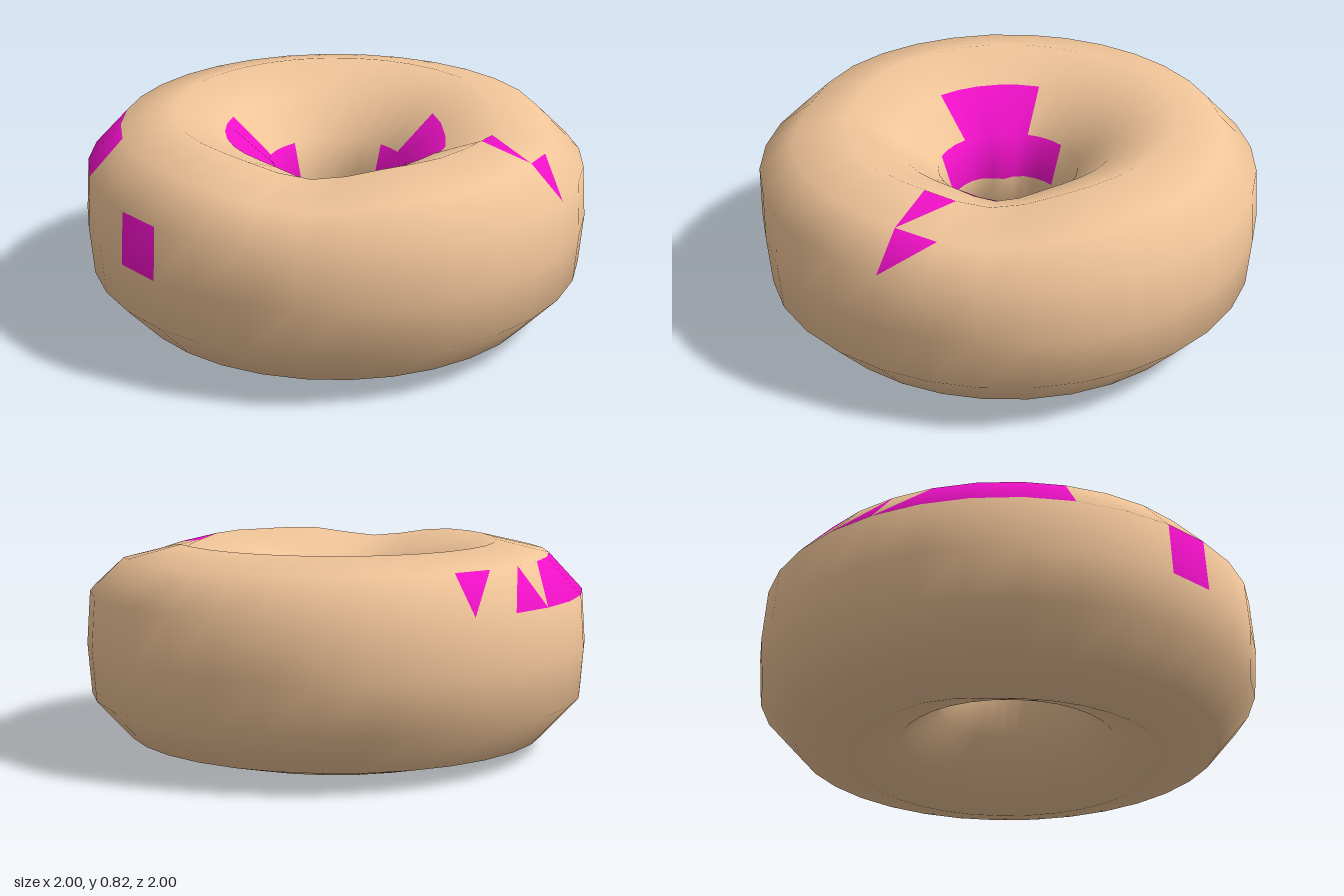
import * as THREE from 'three';

const SEGMENTS = 32;
// Ring cross-section as [radius, height]: outer wall, over the top, down the hole, underneath
const PROFILE = [
  [1.0, 0.42], [0.985, 0.63], [0.85, 0.775], [0.64, 0.825], [0.44, 0.735], [0.28, 0.59],
  [0.23, 0.42], [0.28, 0.22], [0.43, 0.08], [0.62, 0.0], [0.84, 0.06], [0.985, 0.22],
];
const ROWS = PROFILE.length;

// Smooth bump around an angle in degrees
function bump(deg, centre, width) {
  const d = ((deg - centre + 540) % 360) - 180;
  return Math.exp(-((d / width) ** 2));
}

// Ring vertex with the hand-shaped unevenness of dough
function ringPoint(i, j) {
  const deg = (i * 360) / SEGMENTS;
  const a = THREE.MathUtils.degToRad(deg);
  let [r, y] = PROFILE[j];
  const top = j >= 2 && j <= 4 ? 1 : 0;
  y -= top * 0.05 * (bump(deg, 45, 20) + bump(deg, 315, 20) + 0.3 * bump(deg, 0, 20));
  if (j === 9) y += 0.02 * (bump(deg, 22, 18) + bump(deg, 158, 18));
  if (j >= 5 && j <= 7) r -= 0.035 * bump(deg, 122, 14);
  if (j === 0 || j === 11) r -= 0.015 * bump(deg, 28, 12);
  return [r * Math.cos(a), y, r * Math.sin(a)];
}

// Painted cells: [row, first segment, last segment]
const PATCHES = [[0, 7, 7], [1, 10, 12], [4, 8, 12], [5, 5, 15], [4, 25, 29], [5, 23, 31]];
// Painted half cells: [row, segment, which triangle]
const HALVES = [[1, 13, 0], [1, 14, 0], [1, 15, 1], [1, 29, 1], [2, 29, 1]];

function isPainted(i, j, half) {
  return PATCHES.some(([row, from, to]) => row === j && i >= from && i <= to)
    || HALVES.some(([row, seg, h]) => row === j && seg === i && h === half);
}

export function createModel() {
  const positions = [];
  for (let i = 0; i < SEGMENTS; i++) {
    for (let j = 0; j < ROWS; j++) positions.push(...ringPoint(i, j));
  }

  // Sort the triangles into plain and painted surfaces
  const plain = [], painted = [];
  const id = (i, j) => (i % SEGMENTS) * ROWS + (j % ROWS);
  for (let i = 0; i < SEGMENTS; i++) {
    for (let j = 0; j < ROWS; j++) {
      const a = id(i, j), b = id(i + 1, j), c = id(i + 1, j + 1), d = id(i, j + 1);
      (isPainted(i, j, 0) ? painted : plain).push(a, d, b);
      (isPainted(i, j, 1) ? painted : plain).push(b, d, c);
    }
  }

  // Normals come from the whole ring so that both surfaces blend smoothly
  const whole = new THREE.BufferGeometry();
  whole.setAttribute('position', new THREE.Float32BufferAttribute(positions, 3));
  whole.setIndex([...plain, ...painted]);
  whole.computeVertexNormals();

  const group = new THREE.Group();
  group.name = 'ringDoughnut';
  const addSurface = (name, index, color) => {
    const geometry = whole.clone();
    geometry.setIndex(index);
    const mesh = new THREE.Mesh(geometry, new THREE.MeshStandardMaterial({ color }));
    mesh.name = name;
    group.add(mesh);
  };
  addSurface('dough', plain, 0xf0c498);
  addSurface('icingPatches', painted, 0xf010c8);
  return group;
}
